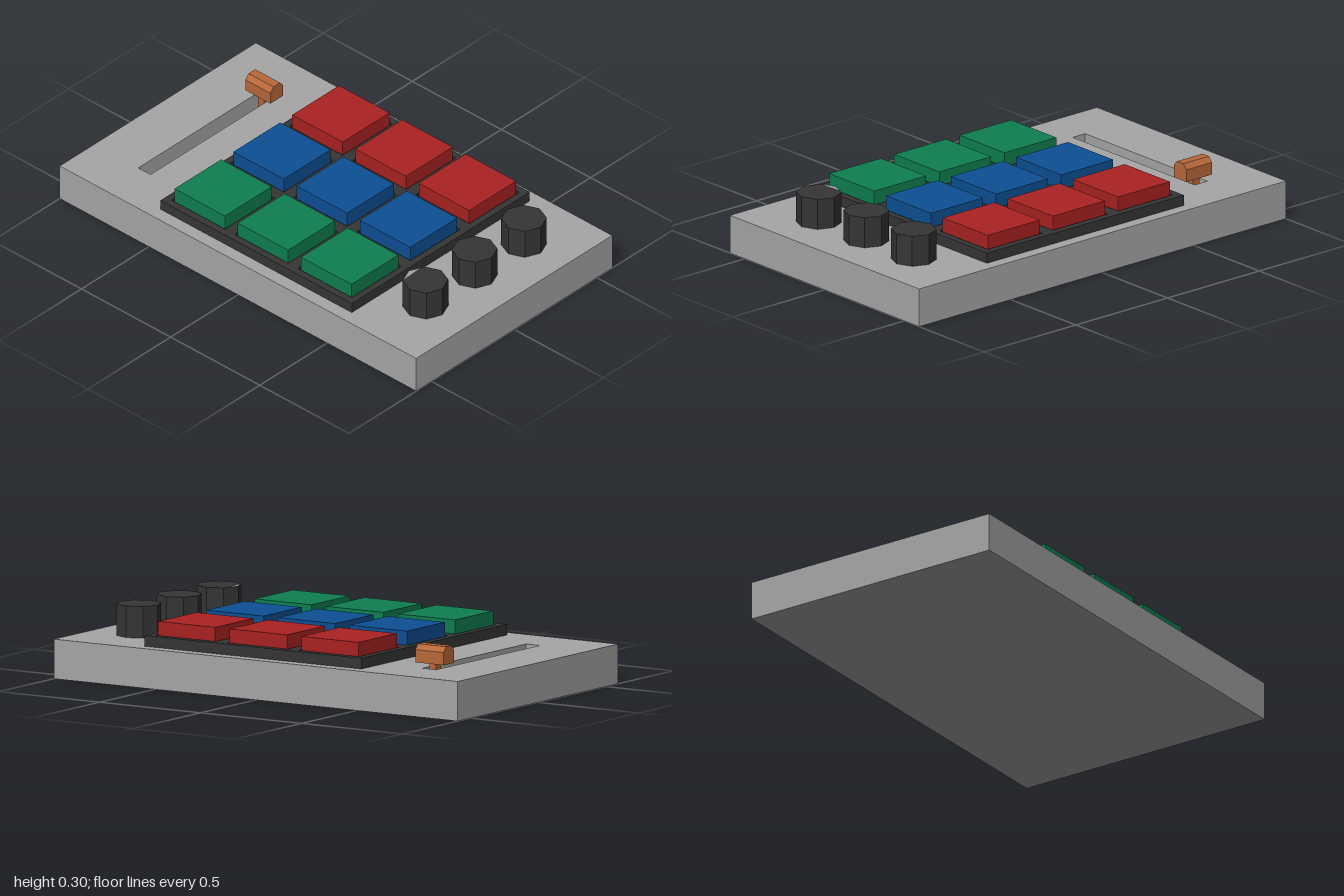
import * as THREE from 'three';

const mat = (name, color) => {
  const m = new THREE.MeshStandardMaterial({ color });
  m.name = name;
  return m;
};

// Rectangle outline in plan; shape y becomes -z once laid flat
function rect(Type, x0, x1, z0, z1) {
  const p = new Type();
  p.moveTo(x0, -z1);
  p.lineTo(x1, -z1);
  p.lineTo(x1, -z0);
  p.lineTo(x0, -z0);
  p.closePath();
  return p;
}

// Flat slab between two heights with optional rectangular openings
function slab(outline, holes, y0, y1) {
  const shape = rect(THREE.Shape, ...outline);
  holes.forEach(h => shape.holes.push(rect(THREE.Path, ...h)));
  const g = new THREE.ExtrudeGeometry(shape, { depth: y1 - y0, bevelEnabled: false });
  return g.rotateX(-Math.PI / 2).translate(0, y0, 0);
}

export function createModel() {
  const group = new THREE.Group();
  const grey = mat('casing grey', 0xa6a6a6);
  const dark = mat('charcoal', 0x353535);
  const orange = mat('copper orange', 0xb8683a);
  const rowColours = [mat('red', 0xaa2222), mat('blue', 0x0d4f94), mat('green', 0x0e7f4f)];

  const add = (name, geometry, material, x = 0, y = 0, z = 0) => {
    const m = new THREE.Mesh(geometry, material);
    m.name = name;
    m.position.set(x, y, z);
    group.add(m);
    return m;
  };

  // Casing: solid lower layer and an upper layer pierced by the slider slot
  const plan = [-1, 1, -0.593, 0.593];
  const slot = [-0.754, -0.685, -0.383, 0.383];
  add('casingLower', slab(plan, [], 0, 0.085), grey);
  add('casingUpper', slab(plan, [slot], 0.085, 0.165), grey);

  // Pad tray with a shallow well around each pad
  const padX = [-0.306, 0.049, 0.404];
  const padZ = [-0.359, -0.003, 0.353];
  const wells = [];
  for (const x of padX) for (const z of padZ) wells.push([x - 0.15, x + 0.15, z - 0.15, z + 0.15]);
  const tray = [-0.488, 0.585, -0.541, 0.535];
  add('trayFloor', slab(tray, [], 0.165, 0.18), dark);
  add('trayFrame', slab(tray, wells, 0.18, 0.21), dark);

  // Three rows of coloured pads
  const padGeometry = new THREE.BoxGeometry(0.283, 0.087, 0.283);
  padZ.forEach((z, row) => padX.forEach((x, col) =>
    add(`pad${row + 1}${col + 1}`, padGeometry, rowColours[row], x, 0.2235, z)));

  // Eight-sided knobs
  const knobGeometry = new THREE.CylinderGeometry(0.094, 0.094, 0.131, 8).toNonIndexed();
  knobGeometry.computeVertexNormals();
  [-0.301, -0.003, 0.294].forEach((z, i) => add(`knob${i + 1}`, knobGeometry, dark, 0.775, 0.2305, z));

  // Pale sliver at the edge of the front knob
  const sliver = new THREE.Shape([[-0.093, 0], [-0.066, -0.064], [-0.072, 0.045]].map(p => new THREE.Vector2(...p)));
  add('knobMark', new THREE.ShapeGeometry(sliver).rotateX(-Math.PI / 2), grey, 0.775, 0.2975, 0.294);

  // Slider: stem rising out of the slot and a cap with chamfered top edges
  add('sliderStem', new THREE.BoxGeometry(0.034, 0.105, 0.036), orange, -0.717, 0.1375, -0.337);
  const profile = new THREE.Shape([
    [-0.039, 0.185], [0.039, 0.185], [0.039, 0.238], [0.02, 0.26], [-0.02, 0.26], [-0.039, 0.238],
  ].map(p => new THREE.Vector2(...p)));
  const cap = new THREE.ExtrudeGeometry(profile, { depth: 0.14, bevelEnabled: false });
  cap.translate(0, 0, -0.07).rotateY(Math.PI / 2);
  add('sliderCap', cap, orange, -0.715, 0, -0.337);

  return group;
}
